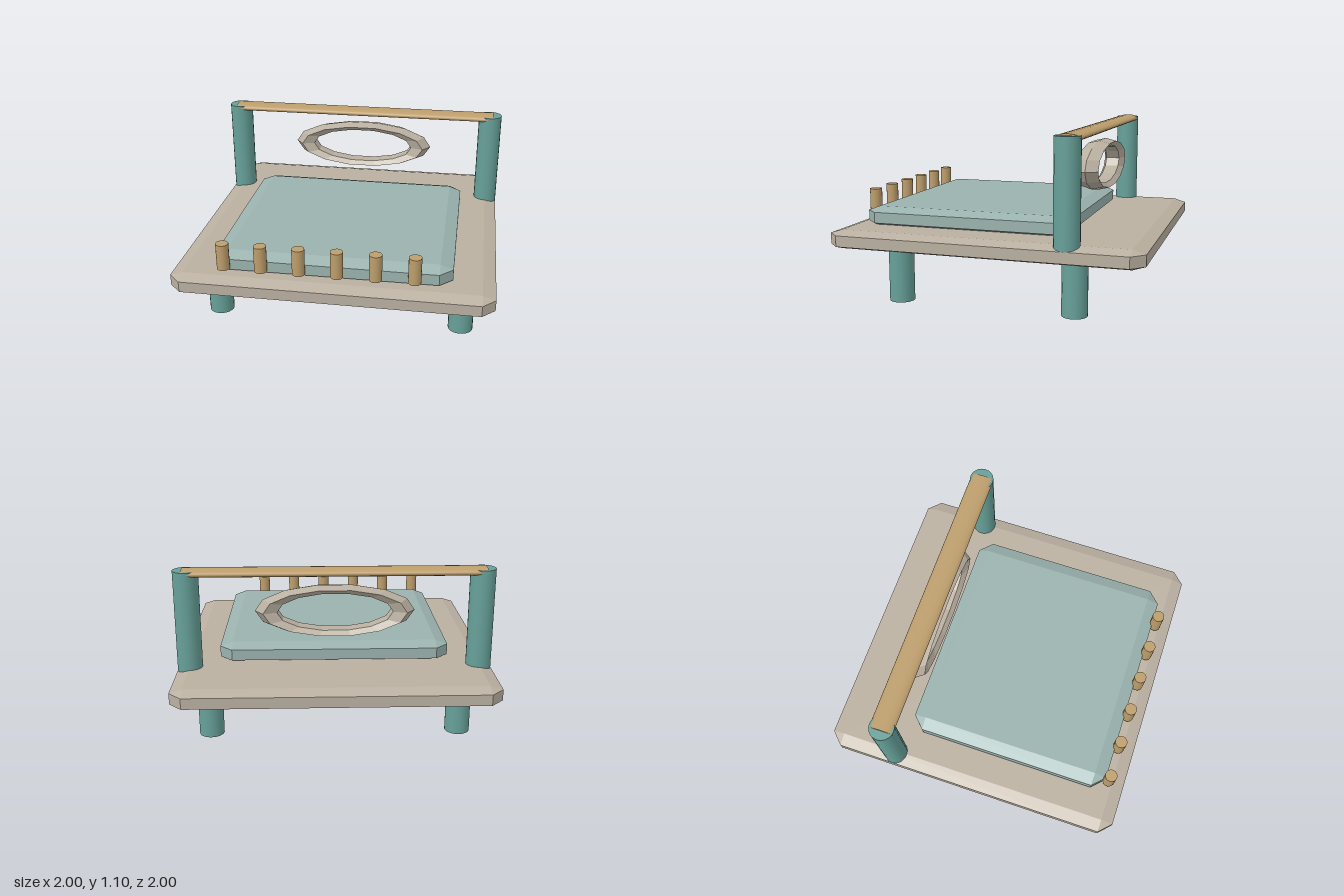
import * as THREE from 'three';
import { ConvexGeometry } from 'three/addons/geometries/ConvexGeometry.js';

const material = (name, color) => {
  const m = new THREE.MeshStandardMaterial({ color });
  m.name = name;
  return m;
};

export function createModel() {
  const stone = material('warm stone', 0xbab0a1);
  const teal = material('deep teal', 0x67a099);
  const sage = material('pale sage', 0x9ab2ae);
  const wood = material('tan wood', 0xbd9e6c);

  const model = new THREE.Group();
  model.name = 'platform';

  function add(name, geometry, mat, x, y, z, parent = model) {
    const mesh = new THREE.Mesh(geometry, mat);
    mesh.name = name;
    mesh.position.set(x, y, z);
    parent.add(mesh);
    return mesh;
  }

  function group(name) {
    const g = new THREE.Group();
    g.name = name;
    model.add(g);
    return g;
  }

  // Box with every edge and corner cut: b in plan, c in height
  function chamferedBox(w, h, d, b, c) {
    const points = [];
    for (const sx of [-1, 1]) for (const sy of [-1, 1]) for (const sz of [-1, 1]) {
      const x = w / 2, y = h / 2, z = d / 2;
      points.push(
        new THREE.Vector3(sx * x, sy * (y - c), sz * (z - b)),
        new THREE.Vector3(sx * (x - b), sy * (y - c), sz * z),
        new THREE.Vector3(sx * (x - b), sy * y, sz * (z - b)));
    }
    return new ConvexGeometry(points);
  }

  // Base slab and raised pad
  add('baseSlab', chamferedBox(2, 0.12, 2, 0.08, 0.025), stone, 0, 0.395, 0);
  add('pad', chamferedBox(1.48, 0.13, 1.355, 0.08, 0.03), sage, 0, 0.505, 0.19);

  // Four legs
  const legs = group('legs');
  const legGeometry = new THREE.CylinderGeometry(0.08, 0.08, 0.36, 20);
  for (const x of [-0.8, 0.8]) for (const z of [-0.56, 0.57]) {
    add('leg', legGeometry, teal, x, 0.18, z, legs);
  }

  // Rear posts joined by a flattened rail
  const frame = group('rearFrame');
  const postGeometry = new THREE.CylinderGeometry(0.08, 0.08, 0.675, 20);
  for (const x of [-0.92, 0.92]) add('post', postGeometry, teal, x, 0.7475, -0.54, frame);
  const railGeometry = new THREE.CylinderGeometry(0.078, 0.078, 1.88, 20)
    .rotateZ(Math.PI / 2).scale(1, 0.34, 1);
  add('rail', railGeometry, wood, 0, 1.07, -0.54, frame);

  // Faceted oval ring hanging under the rail
  const ringGeometry = new THREE.TorusGeometry(0.423, 0.077, 5, 14)
    .scale(1, 0.335, 1).toNonIndexed();
  ringGeometry.computeVertexNormals();
  add('ring', ringGeometry, stone, 0, 0.82, -0.54);

  // Row of pegs along the front of the pad
  const pegs = group('pegs');
  const pegGeometry = new THREE.CylinderGeometry(0.04, 0.04, 0.17, 16);
  for (let i = 0; i < 6; i++) add('peg', pegGeometry, wood, -0.662 + i * 0.2355, 0.575, 0.89, pegs);

  return model;
}
